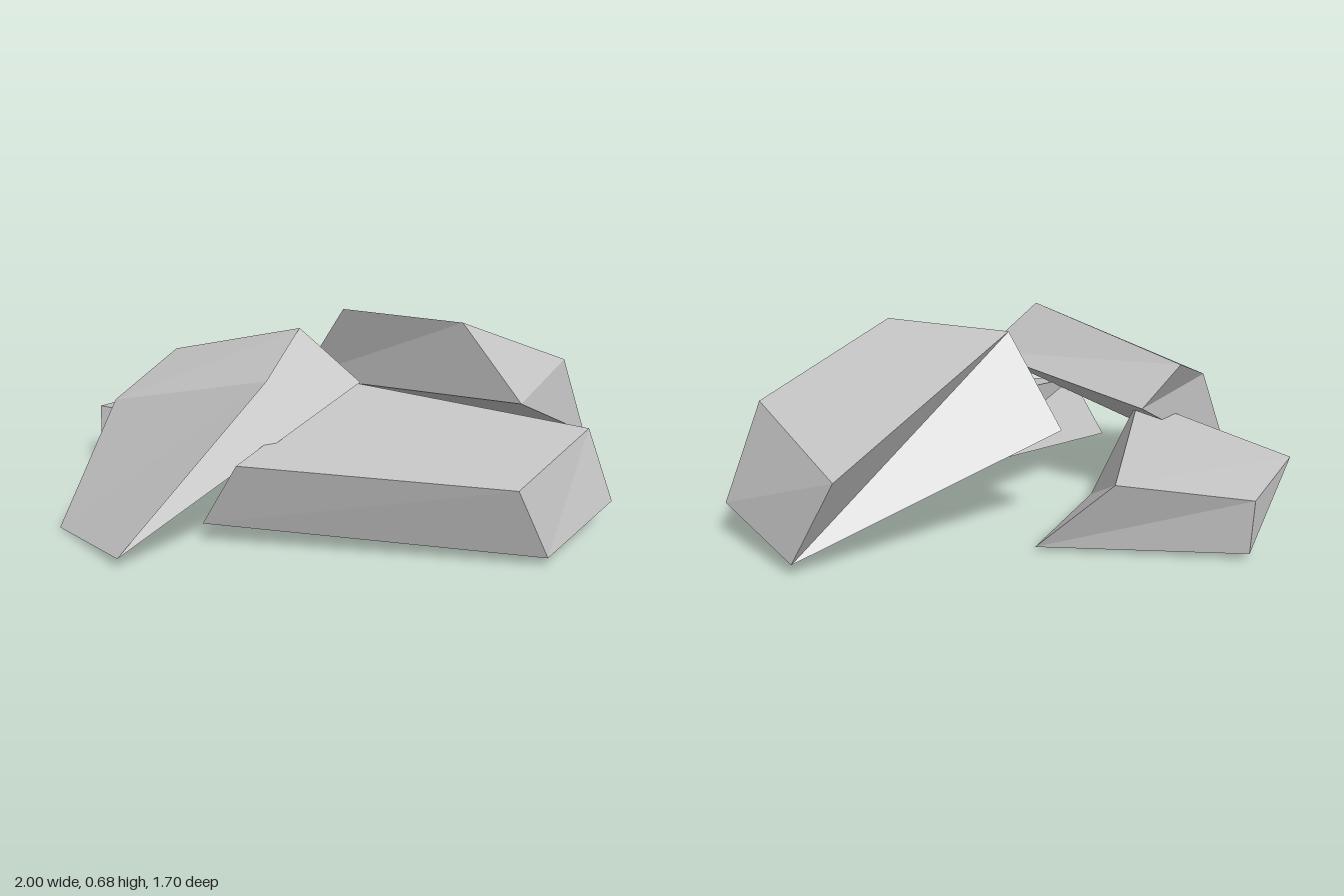
import * as THREE from 'three';

// Each rock is a block with its corners pulled out of place.
// Four upper corners, then the four below them, each going
// front left, front right, back right, back left on screen.
const ROCKS = {
  frontRightSlab: [
    [-0.7, 0.4, 0.375], [-0.07, 0.567, 0.588], [-0.05, 0.675, 0.295], [-0.61, 0.51, 0.04],
    [-0.82, 0, 0.605], [-0.485, 0.032, 0.848], [0.147, 0.488, 0.245], [-0.48, 0.36, -0.035],
  ],
  frontLeftSlab: [
    [-0.16, 0.297, 0.64], [0.72, 0.27, 0.56], [0.907, 0.338, 0.088], [0.03, 0.403, -0.05],
    [-0.297, 0.07, 0.6], [0.815, 0.027, 0.487], [1.0, 0.085, 0.092], [0.12, 0.192, -0.298],
  ],
  backLeftSlab: [
    [-0.017, 0.652, -0.158], [0.453, 0.657, -0.01], [0.79, 0.443, -0.435], [0.4, 0.316, -0.85],
    [-0.22, 0.343, -0.286], [0.676, 0.403, 0.078], [0.88, 0.118, -0.558], [0.55, 0.037, -0.837],
  ],
  backRightSlab: [
    [-1.0, 0.222, -0.078], [-0.455, 0.31, 0.283], [-0.42, 0.25, -0.548], [-0.858, 0.202, -0.489],
    [-0.896, 0.045, 0.138], [-0.305, 0.032, -0.048], [-0.163, 0.011, -0.516], [-0.85, 0.02, -0.485],
  ],
};

// Moves every box vertex to the matching rock corner, keeping hard facets
function rockGeometry(corners) {
  const geometry = new THREE.BoxGeometry(1, 1, 1).toNonIndexed();
  const p = geometry.attributes.position;
  for (let i = 0; i < p.count; i++) {
    const right = p.getX(i) > 0;
    const column = p.getZ(i) > 0 ? (right ? 1 : 0) : (right ? 2 : 3);
    p.setXYZ(i, ...corners[column + (p.getY(i) > 0 ? 0 : 4)]);
  }
  geometry.computeVertexNormals();
  return geometry;
}

export function createModel() {
  const group = new THREE.Group();
  group.name = 'rockPile';

  const stone = new THREE.MeshStandardMaterial({ color: 0xc4c4c4 });
  stone.name = 'pale stone';

  for (const [name, corners] of Object.entries(ROCKS)) {
    const rock = new THREE.Mesh(rockGeometry(corners), stone);
    rock.name = name;
    group.add(rock);
  }
  return group;
}
